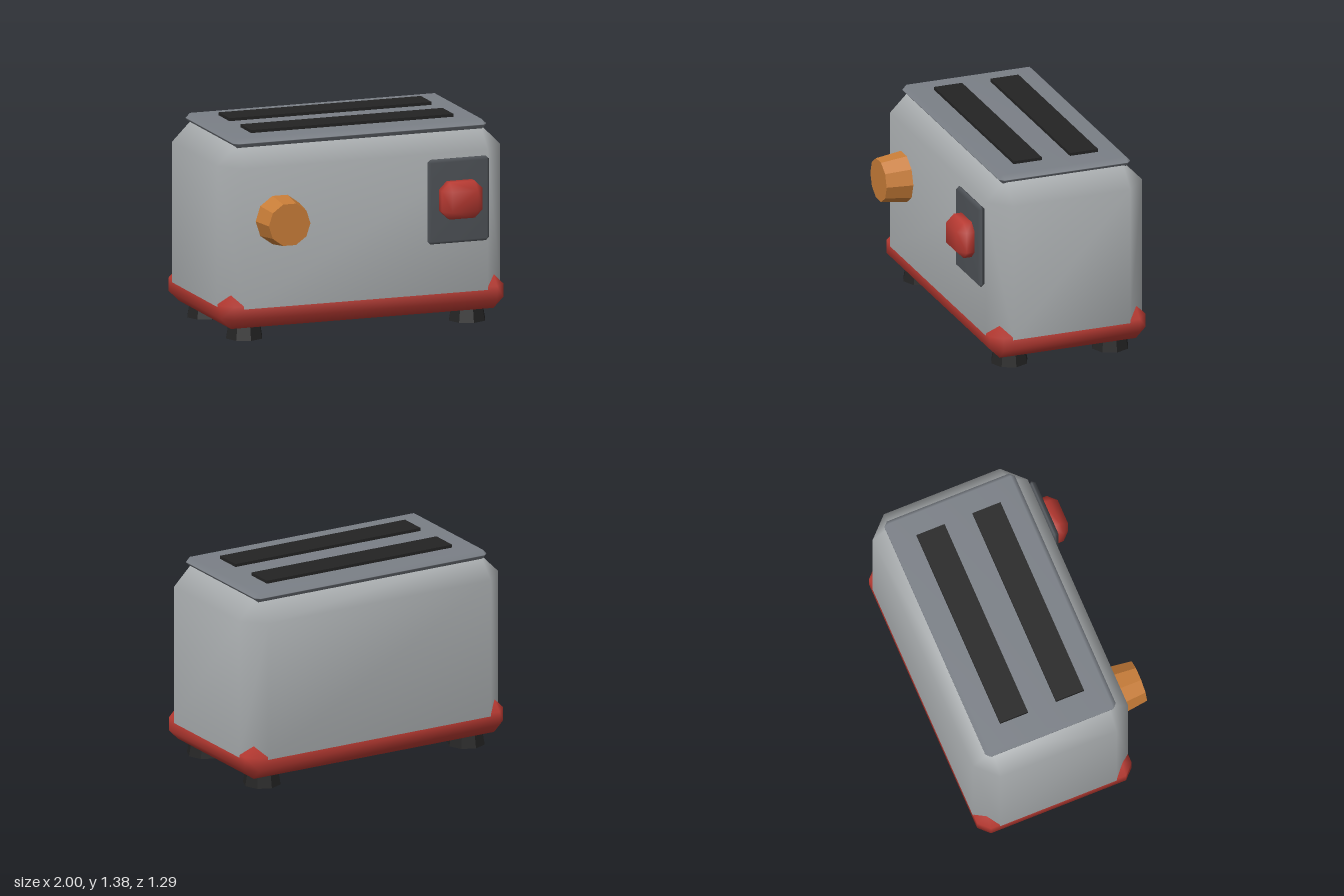
import * as THREE from 'three';
import { mergeVertices } from 'three/addons/utils/BufferGeometryUtils.js';
import { ConvexGeometry } from 'three/addons/geometries/ConvexGeometry.js';

const mat = (name, color, flatShading = false) => {
  const m = new THREE.MeshStandardMaterial({ color, flatShading });
  m.name = name;
  return m;
};

// Box given by its min and max corners, every edge cut by one chamfer, smooth normals
function chamferBox(min, max, c) {
  const half = max.map((v, i) => (v - min[i]) / 2);
  const points = [];
  for (const sx of [-1, 1]) for (const sy of [-1, 1]) for (const sz of [-1, 1]) {
    for (let axis = 0; axis < 3; axis++) {
      const p = [sx, sy, sz].map((s, i) => s * (half[i] - (i === axis ? 0 : c)));
      points.push(new THREE.Vector3(...p));
    }
  }
  let g = new ConvexGeometry(points);
  g.deleteAttribute('normal');
  g = mergeVertices(g, 1e-4);
  g.computeVertexNormals();
  g.translate(...max.map((v, i) => (v + min[i]) / 2));
  return g;
}

export function createModel() {
  const group = new THREE.Group();
  group.name = 'toaster';

  const steel = mat('brushed steel', 0xb0b4b6);
  const red = mat('red enamel', 0xb83a32);
  const lidGrey = mat('lid grey', 0x7a7f86);
  const plateGrey = mat('plate grey', 0x4e5257);
  const black = mat('black', 0x232323, true);
  const orange = mat('orange', 0xc87d38, true);

  const add = (name, geometry, material, x = 0, y = 0, z = 0) => {
    const mesh = new THREE.Mesh(geometry, material);
    mesh.name = name;
    mesh.position.set(x, y, z);
    group.add(mesh);
    return mesh;
  };

  // Housing and the base band whose corners show past the housing's wider chamfers
  add('body', chamferBox([-1, 0.092, -0.645], [1, 1.32, 0.465], 0.14), steel);
  add('base', chamferBox([-0.998, 0.09, -0.643], [0.998, 0.32, 0.463], 0.07), red);

  // Lid with two bread slots
  add('lid', chamferBox([-0.895, 1.296, -0.558], [0.895, 1.36, 0.375], 0.03), lidGrey);
  for (const z of [0.11, -0.29]) {
    add('breadSlot', new THREE.BoxGeometry(1.43, 0.06, 0.2), black, 0, 1.35, z);
  }

  // Lever plate and lever on the front
  add('leverPlate', chamferBox([0.425, 0.575, 0.465], [0.857, 1.145, 0.513], 0.02), plateGrey);
  add('lever', chamferBox([0.495, 0.75, 0.46], [0.784, 1.0, 0.625], 0.055), red);

  // Browning knob, tapering forwards
  const knob = new THREE.CylinderGeometry(0.147, 0.172, 0.185, 10, 1, false, Math.PI / 2);
  knob.rotateX(Math.PI / 2);
  add('knob', knob, orange, -0.61, 0.82, 0.5525);

  // Feet, flaring downwards
  for (const x of [-0.788, 0.788]) for (const z of [0.27, -0.445]) {
    add('foot', new THREE.CylinderGeometry(0.11, 0.128, 0.1, 8), black, x, 0.05, z);
  }
  return group;
}
